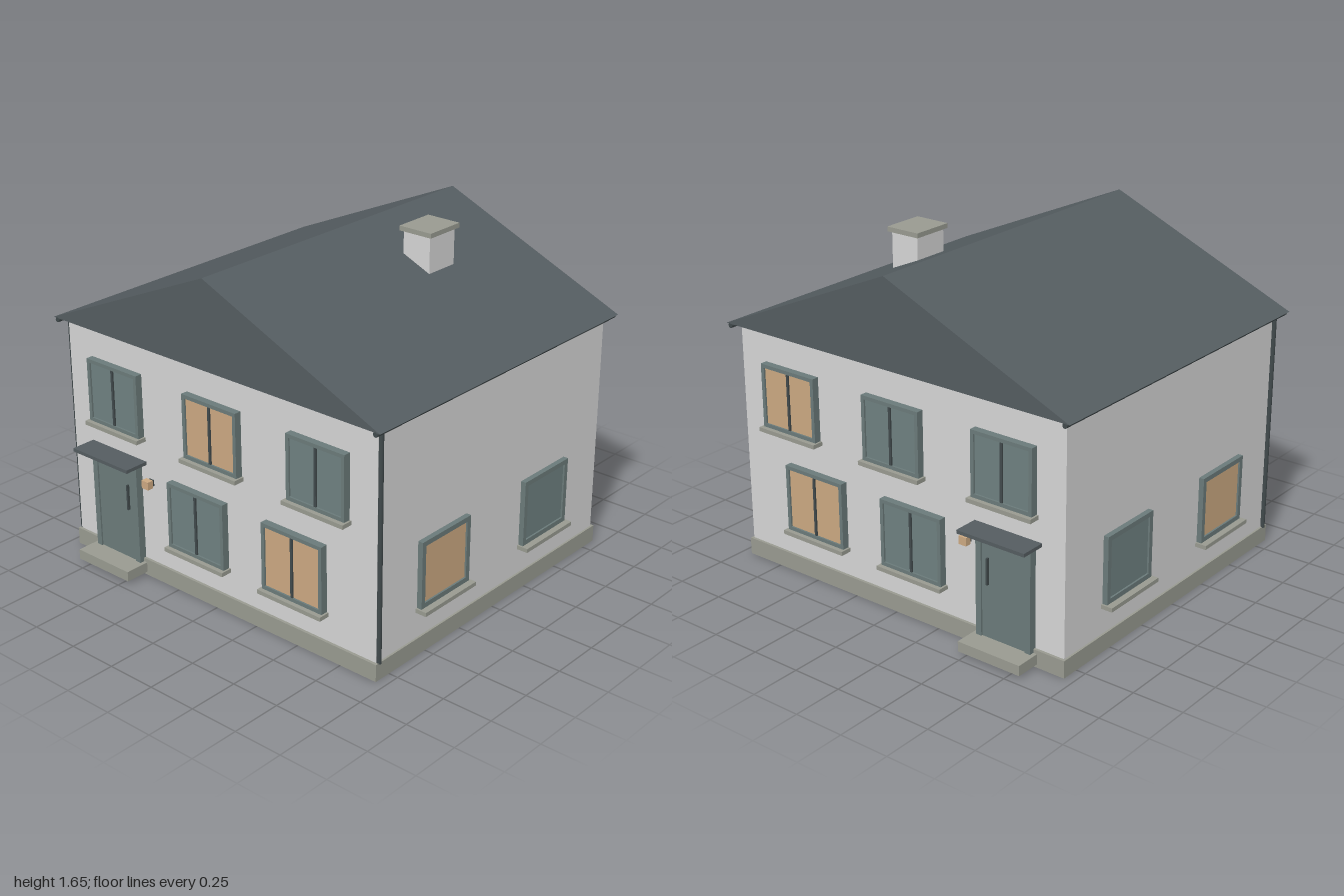
import * as THREE from 'three';

const mat = (name, color) => {
  const m = new THREE.MeshStandardMaterial({ color });
  m.name = name;
  return m;
};

export function createModel() {
  const wall = mat('render wall', 0xd6d6d6);
  const stone = mat('stone', 0x999b91);
  const slate = mat('slate', 0x555d61);
  const dark = mat('dark metal', 0x414a4c);
  const teal = mat('teal frame', 0x6b7b7a);
  const glass = mat('dim glass', 0x6f8181);
  const lit = mat('lit glass', 0xcca982);

  const house = new THREE.Group();
  house.name = 'house';

  const add = (parent, name, geometry, material, x = 0, y = 0, z = 0) => {
    const mesh = new THREE.Mesh(geometry, material);
    mesh.name = name;
    mesh.position.set(x, y, z);
    parent.add(mesh);
    return mesh;
  };
  // Box given by its limits on each axis
  const box = (parent, name, material, x0, x1, y0, y1, z0, z1) =>
    add(parent, name, new THREE.BoxGeometry(x1 - x0, y1 - y0, z1 - z0), material,
      (x0 + x1) / 2, (y0 + y1) / 2, (z0 + z1) / 2);

  // Rectangular ring, centred on its own origin, extruded along +z
  const ring = (w, h, border, depth) => {
    const rect = (T, a, b) => new T([[-a, -b], [a, -b], [a, b], [-a, b]]
      .map(([x, y]) => new THREE.Vector2(x, y)));
    const shape = rect(THREE.Shape, w / 2, h / 2);
    shape.holes.push(rect(THREE.Path, w / 2 - border, h / 2 - border));
    return new THREE.ExtrudeGeometry(shape, { depth, bevelEnabled: false });
  };

  // Window standing on the wall plane z = 0 of its parent
  const addWindow = (parent, { x, y, w, h, isLit, divided, border, depth, sill }) => {
    const g = new THREE.Group();
    g.name = 'window';
    g.position.set(x, y, 0);
    add(g, 'windowFrame', ring(w, h, border, depth), teal);
    const a = w / 2 - border, b = h / 2 - border;
    box(g, 'windowPane', isLit ? lit : glass, -a, a, -b, b, depth - 0.017, depth - 0.009);
    if (divided) box(g, 'mullion', dark, -0.006, 0.006, -b, b, depth - 0.012, depth - 0.001);
    box(g, 'windowSill', stone, -w / 2 - 0.01, w / 2 + 0.01, -h / 2 - 0.02, -h / 2, 0, sill);
    parent.add(g);
  };

  // Door with step, canopy, handle and lamp; s mirrors it sideways
  const addEntrance = (parent, s) => {
    const g = new THREE.Group();
    g.name = 'entrance';
    g.position.x = -0.636 * s;
    box(g, 'doorLeaf', teal, -0.12, 0.12, 0.067, 0.535, 0, 0.03);
    // Door surround without a bottom rail
    for (const e of [-1, 1])
      add(g, 'doorJamb', new THREE.BoxGeometry(0.03, 0.498, 0.038), teal, 0.135 * e, 0.316, 0.019);
    box(g, 'doorHead', teal, -0.12, 0.12, 0.535, 0.565, 0, 0.038);
    add(g, 'doorHandle', new THREE.BoxGeometry(0.008, 0.13, 0.014), dark, 0.085 * s, 0.395, 0.036);
    box(g, 'doorStep', stone, -0.17, 0.17, 0.017, 0.067, 0, 0.14);
    box(g, 'canopy', slate, -0.183, 0.183, 0.583, 0.6, 0, 0.125);
    const lx = 0.216 * s;
    box(g, 'lampBracket', dark, lx - 0.014, lx + 0.014, 0.49, 0.52, 0, 0.015);
    box(g, 'lamp', lit, lx - 0.021, lx + 0.021, 0.485, 0.525, 0.015, 0.047);
    parent.add(g);
  };

  // Walls and plinth
  box(house, 'walls', wall, -0.942, 0.942, 0.04, 1.199, -0.826, 0.826);
  box(house, 'plinth', stone, -0.952, 0.952, 0, 0.085, -0.84, 0.84);

  // Front and back carry the same openings, mirrored
  for (const s of [1, -1]) {
    const face = new THREE.Group();
    face.name = s > 0 ? 'frontFace' : 'backFace';
    face.rotation.y = s > 0 ? 0 : Math.PI;
    face.position.z = 0.826 * s;
    const style = { divided: true, border: 0.018, depth: 0.036, sill: 0.058 };
    [-0.625, 0, 0.625].forEach((x, i) => addWindow(face, {
      ...style, x: x * s, y: 0.883, w: 0.33, h: 0.315, isLit: s > 0 ? i === 1 : i === 2 }));
    [-0.107, 0.484].forEach((x, i) => addWindow(face, {
      ...style, x: x * s, y: 0.395, w: 0.354, h: 0.332, isLit: i === 1 }));
    addEntrance(face, s);
    house.add(face);
  }

  // Sides: a lit window towards the front, a dim one towards the back
  for (const s of [1, -1]) {
    const face = new THREE.Group();
    face.name = s > 0 ? 'leftFace' : 'rightFace';
    face.rotation.y = s * Math.PI / 2;
    face.position.x = 0.942 * s;
    for (const z of [0.379, -0.379]) addWindow(face, {
      x: -z * s, y: 0.4, w: 0.342, h: 0.33, isLit: z > 0,
      divided: false, border: 0.024, depth: 0.026, sill: 0.058 });
    house.add(face);

    // Gutter along the eave and downpipe at the front corner
    const gutter = add(house, 'gutter', new THREE.CylinderGeometry(0.012, 0.012, 1.75, 12), dark,
      0.965 * s, 1.191, 0);
    gutter.rotation.x = Math.PI / 2;
    add(house, 'downpipe', new THREE.CylinderGeometry(0.012, 0.012, 1.11, 12), dark,
      0.946 * s, 1.19 - 0.555, 0.813);
  }

  // Solid gabled roof
  const gable = new THREE.Shape([[-0.99, 1.2], [0.99, 1.2], [0, 1.628]]
    .map(([x, y]) => new THREE.Vector2(x, y)));
  add(house, 'roof', new THREE.ExtrudeGeometry(gable, { depth: 1.75, bevelEnabled: false }),
    slate, 0, 0, -0.875);

  // Chimney
  box(house, 'chimneyStack', wall, 0.252, 0.404, 1.4, 1.63, -0.362, -0.18);
  box(house, 'chimneyCap', stone, 0.237, 0.419, 1.63, 1.653, -0.378, -0.166);

  return house;
}
